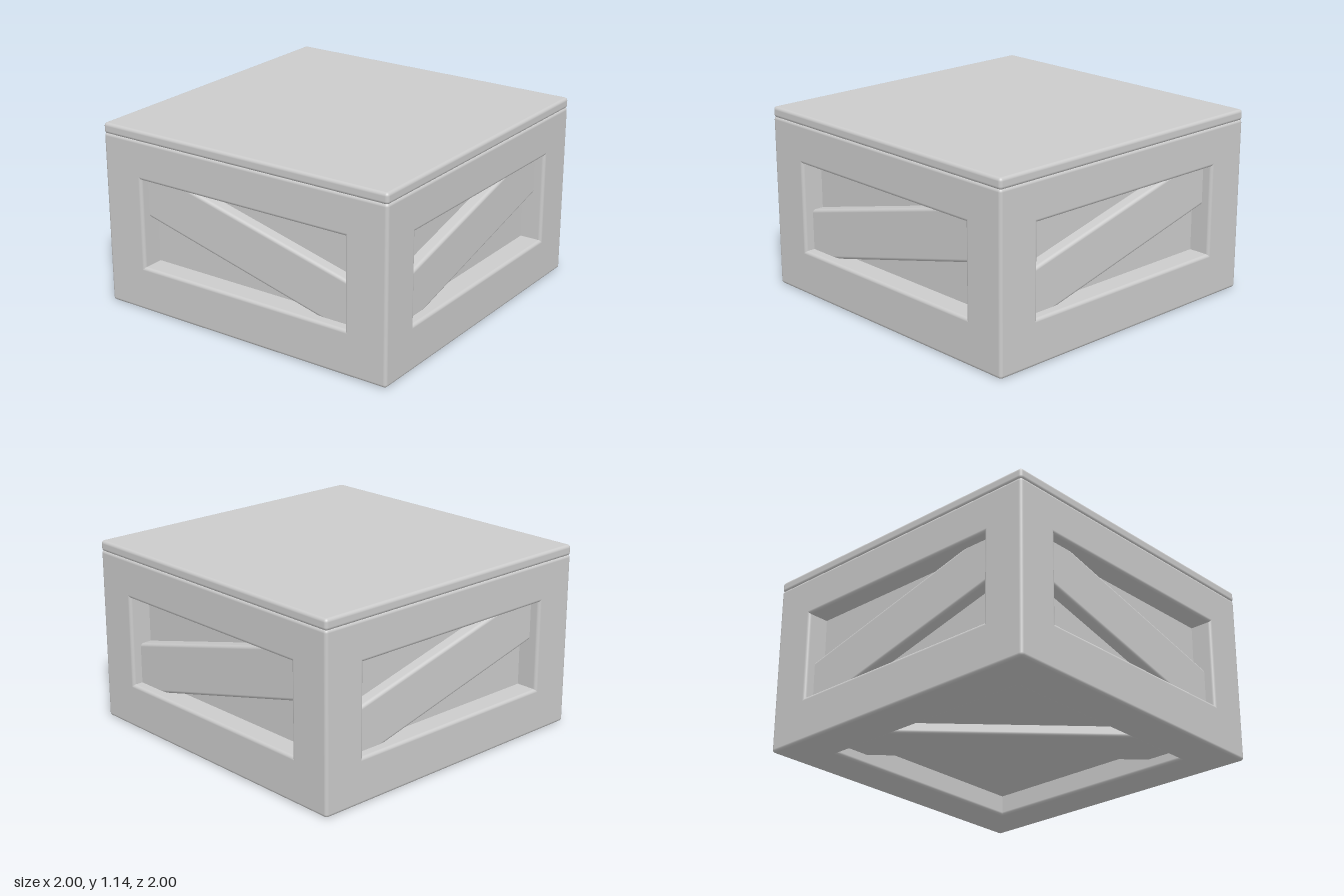
import * as THREE from 'three';
import { RoundedBoxGeometry } from 'three/addons/geometries/RoundedBoxGeometry.js';

const material = new THREE.MeshStandardMaterial({ color: 0xcccccc });

// Rounded bar or slab of size w, h, d centred on x, y, z
function bar(name, w, h, d, x, y, z, radius = 0.02) {
  const mesh = new THREE.Mesh(new RoundedBoxGeometry(w, h, d, 3, radius), material);
  mesh.name = name;
  mesh.position.set(x, y, z);
  return mesh;
}

export function createModel() {
  const crate = new THREE.Group();
  crate.name = 'crate';

  const top = 1.08;            // top of the frame
  const open = 0.725;          // half width of the openings
  const low = 0.28, high = 0.835; // bottom and top of the side openings
  const thick = 1 - open;
  const mid = 1 - thick / 2;
  const railLength = 2 * (open + 0.08); // rail ends are sunk into the posts

  // Inner box that forms the recessed panels
  const panels = new THREE.Mesh(new THREE.BoxGeometry(1.72, 0.94, 1.72), material);
  panels.name = 'recessedPanels';
  panels.position.y = 0.6;
  crate.add(panels);

  // Lid
  crate.add(bar('lid', 2, 0.068, 2, 0, 1.106, 0));

  // Corner posts
  for (const x of [-mid, mid]) {
    for (const z of [-mid, mid]) {
      crate.add(bar('cornerPost', thick, top, thick, x, top / 2, z));
    }
  }

  // Each side: two rails and a slanted brace; the left one slants the other way
  const sides = [
    ['front', 0, 1],
    ['right', Math.PI / 2, 1],
    ['back', Math.PI, 1],
    ['left', -Math.PI / 2, -1],
  ];
  for (const [name, turn, slant] of sides) {
    const side = new THREE.Group();
    side.name = name + 'Side';
    side.rotation.y = turn;
    side.add(bar('bottomRail', railLength, low, thick, 0, low / 2, mid));
    side.add(bar('topRail', railLength, top - high, thick, 0, (top + high) / 2, mid));
    const brace = bar('diagonalBrace', 1.78, 0.307, 0.12, 0, 0.558, 0.875);
    brace.rotation.z = slant * Math.atan(0.253);
    side.add(brace);
    crate.add(side);
  }

  // Brace across the underside, corner to corner
  const floorBrace = bar('floorBrace', 2.3, 0.12, 0.37, 0, 0.125, 0);
  floorBrace.rotation.y = Math.PI / 4;
  crate.add(floorBrace);

  return crate;
}
